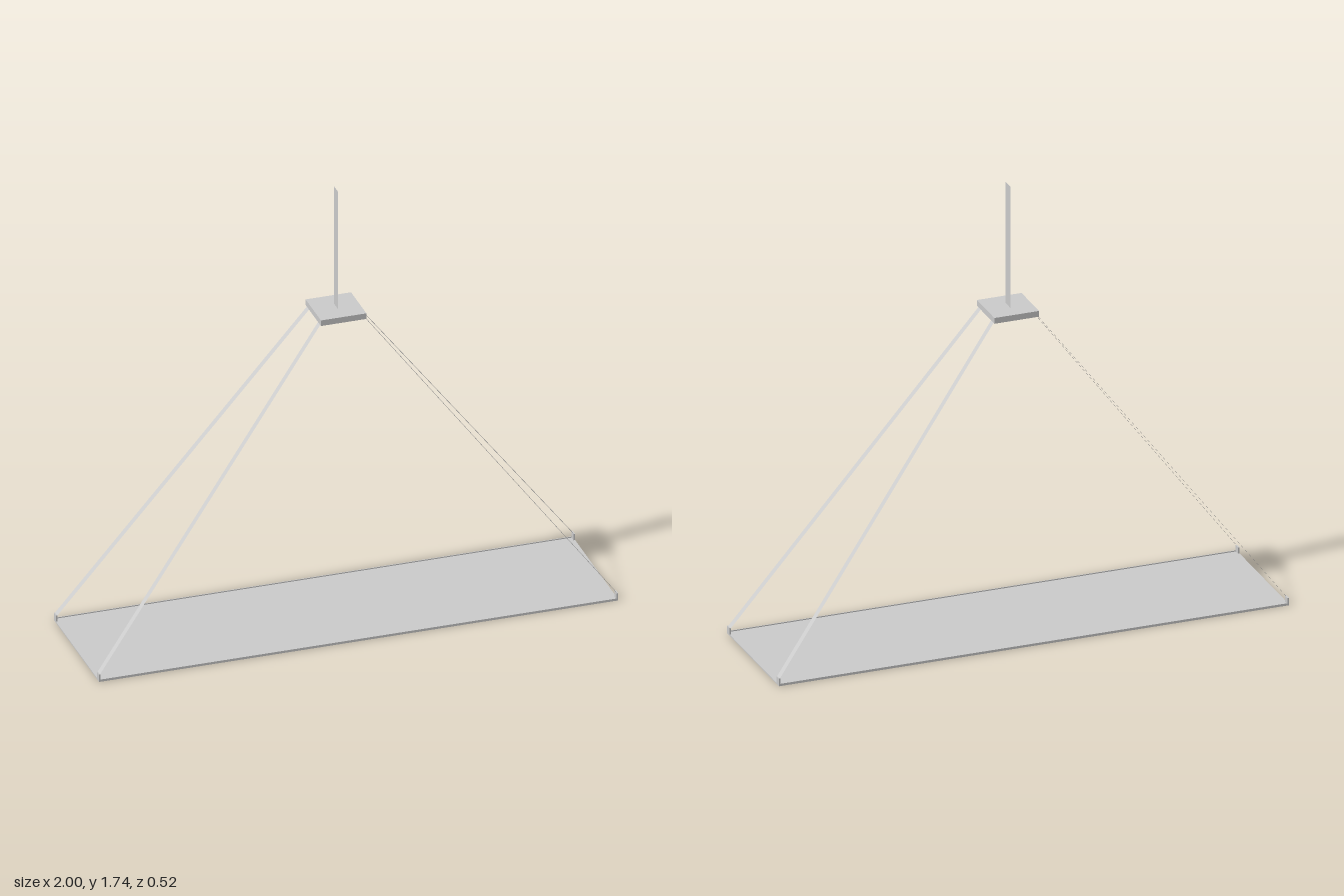
import * as THREE from 'three';

const solid = new THREE.MeshStandardMaterial({ color: 0xcccccc, flatShading: true });
const thin = new THREE.MeshStandardMaterial({ color: 0xcccccc, flatShading: true, side: THREE.DoubleSide });

const STRAP_WIDTH = 0.025;

function box(name, size, position) {
  const mesh = new THREE.Mesh(new THREE.BoxGeometry(...size), solid);
  mesh.name = name;
  mesh.position.set(...position);
  return mesh;
}

// Flat ribbon between two points, its width running along z
function ribbon(name, from, to, width) {
  const geometry = new THREE.PlaneGeometry(1, 1);
  const p = geometry.attributes.position;
  const a = new THREE.Vector3(...from), b = new THREE.Vector3(...to), v = new THREE.Vector3();
  for (let i = 0; i < p.count; i++) {
    v.lerpVectors(a, b, p.getY(i) + 0.5);
    p.setXYZ(i, v.x, v.y, v.z + p.getX(i) * width);
  }
  geometry.computeVertexNormals();
  const mesh = new THREE.Mesh(geometry, thin);
  mesh.name = name;
  return mesh;
}

export function createModel() {
  const model = new THREE.Group();
  model.name = 'hangingPlatform';

  // Thin board with a slight lip along each long edge
  model.add(box('board', [2, 0.005, 0.516], [0, 0.0025, 0]));
  for (const z of [-1, 1]) {
    model.add(box('edgeLip', [2, 0.009, 0.003], [0, 0.0045, z * 0.2565]));
  }

  // Corner tabs and the straps rising from them
  for (const x of [-1, 1]) {
    for (const z of [-1, 1]) {
      model.add(box('cornerTab', [0.006, 0.03, STRAP_WIDTH], [x * 0.997, 0.015, z * 0.2455]));
      model.add(ribbon('strap', [x * 0.997, 0.028, z * 0.244], [x * 0.083, 1.232, z * 0.063], STRAP_WIDTH));
    }
  }

  // Joining plate and the flat hanging strap above it
  model.add(box('topPlate', [0.175, 0.023, 0.175], [0, 1.24, 0]));
  model.add(ribbon('hangingStrap', [0, 1.25, 0], [0, 1.735, 0], 0.05));

  return model;
}
